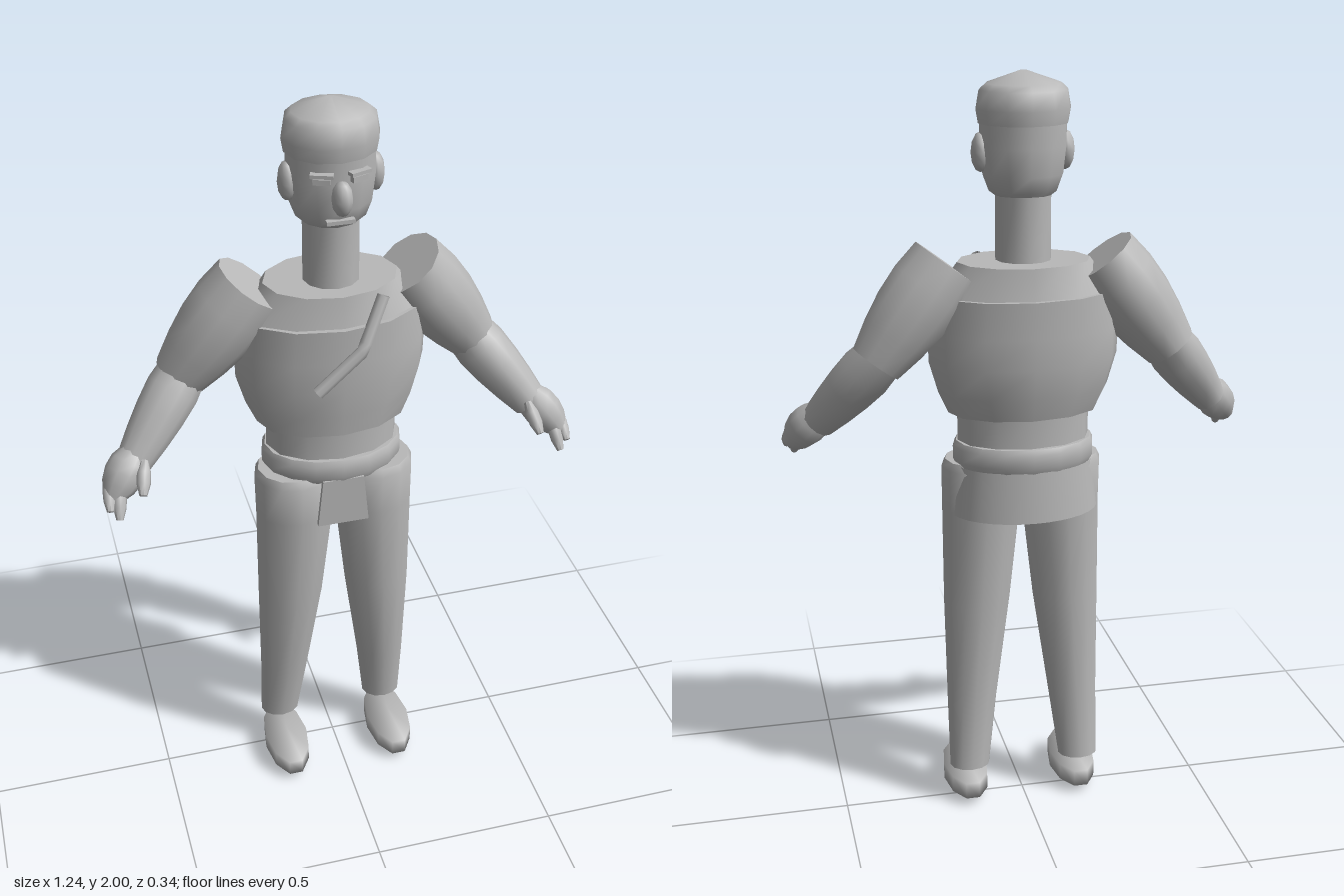
import * as THREE from 'three';
import { toCreasedNormals } from 'three/addons/utils/BufferGeometryUtils.js';

const grey = new THREE.MeshStandardMaterial({ color: 0xb8b8b8 });
grey.name = 'plain grey';
const greySheet = new THREE.MeshStandardMaterial({ color: 0xb8b8b8, side: THREE.DoubleSide });
greySheet.name = 'plain grey sheet';

const V = (x, y, z) => new THREE.Vector3(x, y, z);
const UP = V(0, 1, 0);

function part(parent, name, geometry, material = grey) {
  const mesh = new THREE.Mesh(geometry, material);
  mesh.name = name;
  parent.add(mesh);
  return mesh;
}

// Capped solid through elliptical sections [y, centreX, centreZ, radiusX, radiusZ], top first
function loft(sections, sides = 12) {
  const rows = sections.length - 1;
  const geo = new THREE.CylinderGeometry(1, 1, 1, sides, rows);
  const p = geo.attributes.position;
  for (let i = 0; i < p.count; i++) {
    const [y, cx, cz, rx, rz] = sections[Math.round((0.5 - p.getY(i)) * rows)];
    p.setXYZ(i, cx + p.getX(i) * rx, y, cz + p.getZ(i) * rz);
  }
  return toCreasedNormals(geo, 0.9);
}

// Round limb from a to b with evenly spaced radii
function limb(parent, name, a, b, radii, sides = 12) {
  const length = a.distanceTo(b);
  const rows = radii.length - 1;
  const sections = radii.map((r, i) => [length * (0.5 - i / rows), 0, 0, r, r]);
  const mesh = part(parent, name, loft(sections, sides));
  mesh.position.copy(a).lerp(b, 0.5);
  mesh.quaternion.setFromUnitVectors(UP, a.clone().sub(b).normalize());
  return mesh;
}

function ball(parent, name, pos, scale, w = 12, h = 8) {
  const mesh = part(parent, name, new THREE.SphereGeometry(1, w, h));
  mesh.position.copy(pos);
  mesh.scale.copy(scale);
  return mesh;
}

function box(parent, name, size, pos, tilt = 0) {
  const mesh = part(parent, name, new THREE.BoxGeometry(...size));
  mesh.position.copy(pos);
  mesh.rotation.y = tilt;
  return mesh;
}

function addHead(body) {
  const head = new THREE.Group();
  head.name = 'head';
  body.add(head);
  part(head, 'face', loft([
    [1.9, 0, -0.015, 0.11, 0.095], [1.82, 0, -0.015, 0.112, 0.095],
    [1.75, 0, -0.015, 0.103, 0.092], [1.71, 0, -0.015, 0.088, 0.08],
    [1.685, 0, -0.015, 0.055, 0.055],
  ]));
  part(head, 'cap', loft([
    [2, 0, -0.018, 0.008, 0.008], [1.97, 0, -0.018, 0.095, 0.085],
    [1.955, 0, -0.018, 0.112, 0.1], [1.91, 0, -0.018, 0.12, 0.106],
    [1.875, 0, -0.018, 0.114, 0.1],
  ]));
  ball(head, 'nose', V(0, 1.79, 0.088), V(0.026, 0.044, 0.032), 10, 6);
  box(head, 'mouth', [0.07, 0.01, 0.016], V(0, 1.725, 0.073));
  for (const s of [-1, 1]) {
    ball(head, 'ear', V(s * 0.107, 1.805, -0.012), V(0.025, 0.05, 0.034), 8, 6);
    box(head, 'eye', [0.042, 0.014, 0.016], V(s * 0.045, 1.832, 0.072), s * 0.35);
    box(head, 'eyebrow', [0.055, 0.009, 0.024], V(s * 0.045, 1.848, 0.074), s * 0.35);
  }
}

function addTorso(body) {
  part(body, 'neck', loft([[1.7, 0, -0.015, 0.072, 0.07], [1.5, 0, -0.015, 0.072, 0.07]]));
  part(body, 'collar', loft([[1.535, 0, -0.022, 0.172, 0.122], [1.455, 0, -0.022, 0.232, 0.134]]));
  part(body, 'chest', loft([
    [1.455, 0, -0.022, 0.238, 0.147], [1.36, 0, -0.022, 0.25, 0.148],
    [1.28, 0, -0.022, 0.248, 0.146], [1.2, 0, -0.02, 0.225, 0.137],
    [1.14, 0, -0.015, 0.198, 0.124],
  ]));
  part(body, 'waist', loft([[1.16, 0, -0.015, 0.175, 0.118], [1.03, 0, -0.015, 0.175, 0.118]]));
  part(body, 'belt', loft([
    [1.064, 0, -0.015, 0.18, 0.128], [1.05, 0, -0.015, 0.188, 0.135],
    [1.015, 0, -0.015, 0.188, 0.135], [0.995, 0, -0.015, 0.178, 0.126],
  ], 16));

  // Bent strap across the chest
  const strap = new THREE.CurvePath();
  const bend = [V(-0.075, 1.3, 0.142), V(0.04, 1.4, 0.138), V(0.103, 1.525, 0.095)];
  strap.add(new THREE.LineCurve3(bend[0], bend[1]));
  strap.add(new THREE.LineCurve3(bend[1], bend[2]));
  part(body, 'chestStrap', new THREE.TubeGeometry(strap, 12, 0.016, 8), greySheet);

  // Front flap hanging from the belt, wider at its foot
  const flap = new THREE.BoxGeometry(0.11, 0.14, 0.012);
  const p = flap.attributes.position;
  for (let i = 0; i < p.count; i++) {
    if (p.getY(i) < 0) p.setX(i, p.getX(i) * 1.25);
  }
  flap.computeVertexNormals();
  part(body, 'frontFlap', flap).position.set(0, 0.935, 0.108);

  // Curved skirt round the back
  const skirt = new THREE.CylinderGeometry(1, 1.08, 0.135, 14, 1, true, Math.PI * 0.58, Math.PI * 0.84);
  skirt.scale(0.184, 1, 0.128);
  part(body, 'backSkirt', skirt, greySheet).position.set(0, 0.933, -0.014);
}

function addArm(body, s) {
  const arm = new THREE.Group();
  arm.name = s > 0 ? 'leftArm' : 'rightArm';
  body.add(arm);
  const shoulder = V(s * 0.2, 1.535, -0.03);
  const elbow = V(s * 0.386, 1.292, -0.048);
  const wrist = V(s * 0.53, 1.118, 0.05);
  limb(arm, 'upperArm', shoulder, elbow, [0.095, 0.103, 0.1, 0.088, 0.07]);
  limb(arm, 'forearm', V(s * 0.37, 1.312, -0.05), wrist, [0.062, 0.07, 0.066, 0.058, 0.047]);
  limb(arm, 'hand', V(s * 0.522, 1.145, 0.045), V(s * 0.598, 1.05, 0.1),
    [0.035, 0.05, 0.052, 0.044, 0.026], 10);
  limb(arm, 'thumb', V(s * 0.508, 1.14, 0.085), V(s * 0.525, 1.078, 0.148),
    [0.01, 0.018, 0.018, 0.01], 8);
  limb(arm, 'finger', V(s * 0.575, 1.085, 0.09), V(s * 0.588, 1.012, 0.145),
    [0.014, 0.018, 0.017, 0.009], 8);
  limb(arm, 'finger', V(s * 0.6, 1.09, 0.075), V(s * 0.608, 1.035, 0.135),
    [0.014, 0.017, 0.016, 0.009], 8);
}

function addLeg(body, s) {
  const leg = new THREE.Group();
  leg.name = s > 0 ? 'leftLeg' : 'rightLeg';
  body.add(leg);
  part(leg, 'trouserLeg', loft([
    [1.005, s * 0.11, 0.01, 0.095, 0.088], [0.985, s * 0.108, 0.01, 0.107, 0.1],
    [0.87, s * 0.108, 0.014, 0.106, 0.092], [0.6, s * 0.123, 0.01, 0.091, 0.081],
    [0.3, s * 0.143, -0.005, 0.068, 0.056], [0.11, s * 0.155, -0.026, 0.055, 0.044],
  ]));
  // Faceted shoe, longer towards the toe
  ball(leg, 'shoe', V(s * 0.155, 0.046, 0.05), V(0.07, 0.046, 0.15), 10, 3);
}

export function createModel() {
  const body = new THREE.Group();
  body.name = 'figure';
  addHead(body);
  addTorso(body);
  for (const s of [-1, 1]) {
    addArm(body, s);
    addLeg(body, s);
  }
  return body;
}
